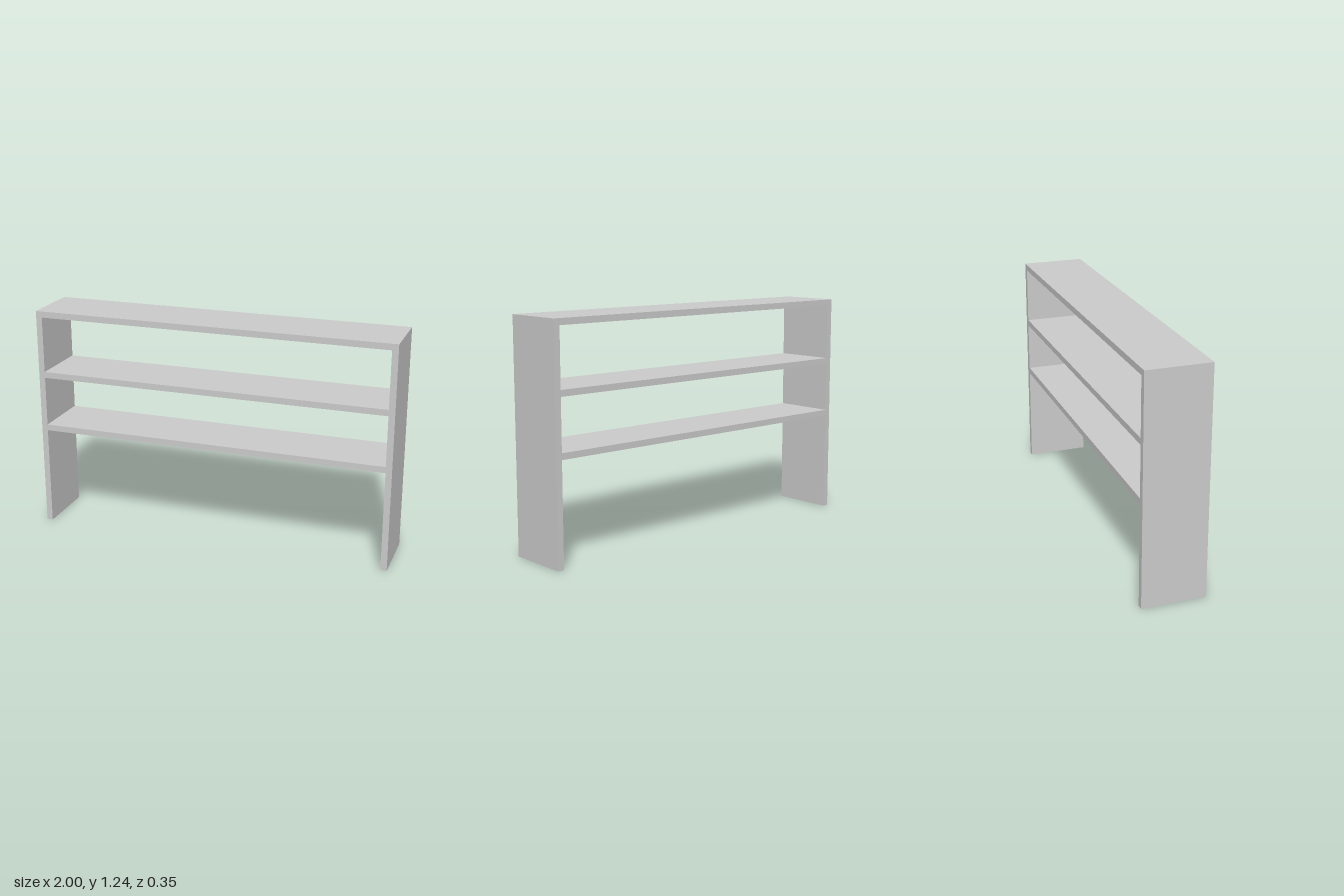
import * as THREE from 'three';

const WIDTH = 2, HEIGHT = 1.243, DEPTH = 0.346, BOARD = 0.034;

export function createModel() {
  const group = new THREE.Group();
  const material = new THREE.MeshStandardMaterial({ color: 0xcccccc, flatShading: true });

  const addBoard = (name, width, height, x, y) => {
    const board = new THREE.Mesh(new THREE.BoxGeometry(width, height, DEPTH), material);
    board.name = name;
    board.position.set(x, y, 0);
    group.add(board);
  };

  // Upright side panels, standing under the top board
  const sideHeight = HEIGHT - BOARD;
  for (const [name, side] of [['leftPanel', 1], ['rightPanel', -1]]) {
    addBoard(name, BOARD, sideHeight, side * (WIDTH - BOARD) / 2, sideHeight / 2);
  }

  // Full-width top board
  addBoard('topBoard', WIDTH, BOARD, 0, HEIGHT - BOARD / 2);

  // Shelves fitted between the side panels
  for (const [name, y] of [['upperShelf', 0.881], ['lowerShelf', 0.571]]) {
    addBoard(name, WIDTH - 2 * BOARD, BOARD, 0, y);
  }

  return group;
}
